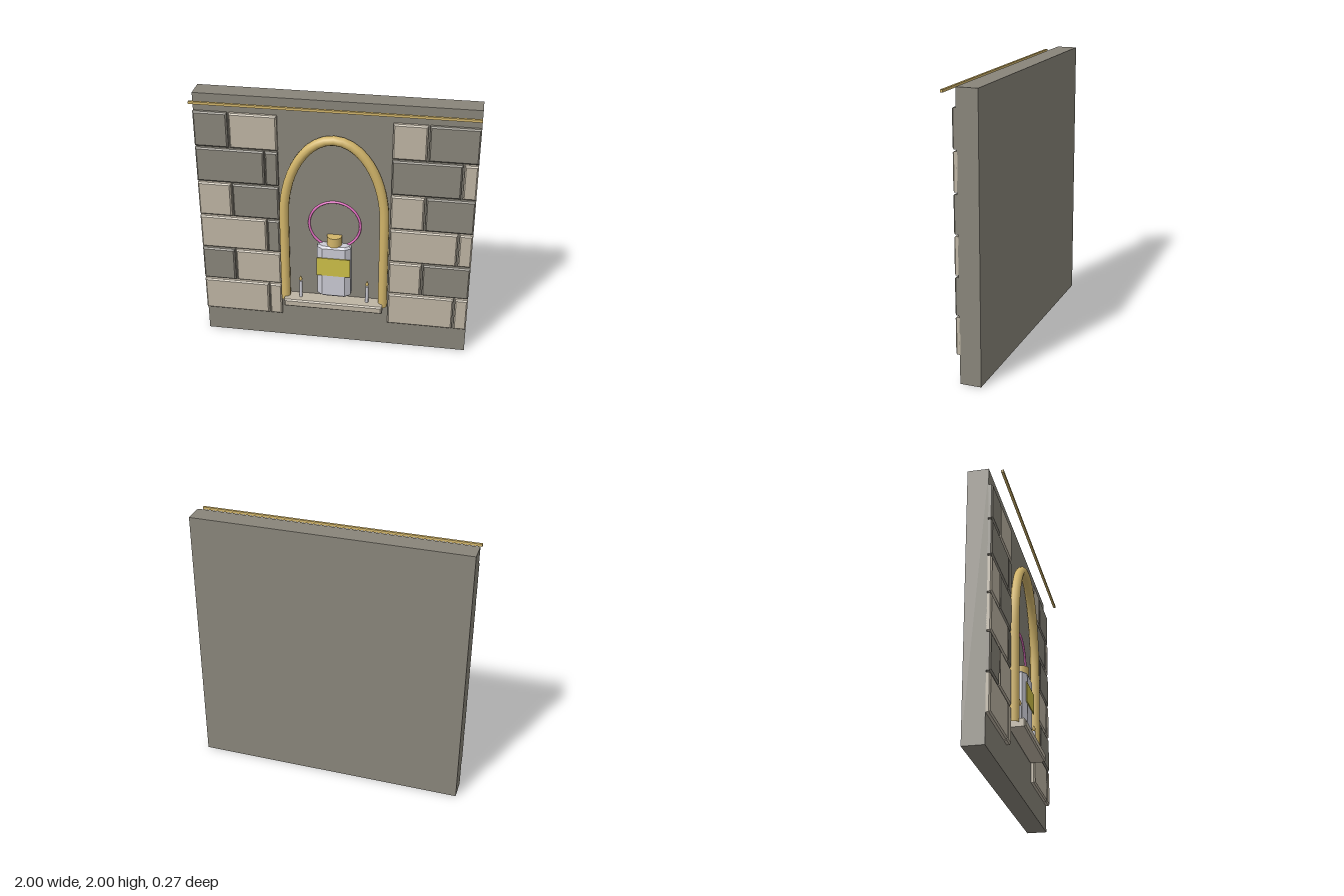
import * as THREE from 'three';

const mat = (name, color) => Object.assign(new THREE.MeshStandardMaterial({ color }), { name });

export function createModel() {
  const root = new THREE.Group();
  root.name = 'wallShrine';
  const stone = mat('darkStone', 0x89857a);
  const pale = mat('paleStone', 0xbeb5a4);
  const gold = mat('gold', 0xd2b56a);
  const white = mat('glassWhite', 0xcbcbd4);
  const yellow = mat('labelYellow', 0xcdbf48);
  const pink = mat('haloPink', 0xe46fc2);

  const add = (name, geo, material, x = 0, y = 0, z = 0) => {
    const mesh = new THREE.Mesh(geo, material);
    mesh.name = name;
    mesh.position.set(x, y, z);
    root.add(mesh);
    return mesh;
  };

  // Polygon extruded along z from 0 to depth, chamfered by b inside its outline
  const chamfered = (points, depth, b) => {
    const geo = new THREE.ExtrudeGeometry(new THREE.Shape(points), {
      depth: depth - 2 * b, bevelEnabled: true, bevelSize: b, bevelThickness: b,
      bevelOffset: -b, bevelSegments: 1,
    });
    return geo.translate(0, 0, b);
  };
  const rect = (w, h) => [[-1, -1], [1, -1], [1, 1], [-1, 1]]
    .map(([x, y]) => new THREE.Vector2(x * w / 2, y * h / 2));

  // Backing wall
  add('wall', new THREE.BoxGeometry(2, 2, 0.15), stone, 0, 1, -0.06);

  // Stone blocks: [x start, x end, pale?], rows from the top down
  const rows = [
    [[-1, -0.757, 0], [-0.745, -0.405, 1], [0.405, 0.643, 1], [0.655, 1, 0]],
    [[-1, -0.505, 0], [-0.497, -0.405, 0], [0.405, 0.893, 0], [0.905, 1, 1]],
    [[-1, -0.757, 1], [-0.745, -0.405, 0], [0.405, 0.643, 1], [0.655, 1, 0]],
    [[-1, -0.505, 1], [-0.497, -0.405, 0], [0.405, 0.893, 1], [0.905, 1, 1]],
    [[-1, -0.757, 0], [-0.745, -0.405, 1], [0.405, 0.643, 1], [0.655, 1, 0]],
    [[-1, -0.505, 1], [-0.497, -0.405, 1], [0.405, 0.893, 1], [0.905, 1, 1]],
  ];
  rows.forEach((row, r) => row.forEach(([a, b, light]) => {
    add('stoneBlock', chamfered(rect(b - a, 0.265), 0.045, 0.01),
      light ? pale : stone, (a + b) / 2, 1.738 - r * 0.279, 0);
  }));

  // Arch moulding: straight legs joined by a tall half ellipse
  const path = new THREE.CurvePath();
  const v = (x, y) => new THREE.Vector3(x, y, 0);
  const top = [];
  for (let i = 0; i <= 20; i++) {
    const t = Math.PI * i / 20;
    top.push(v(0.365 * Math.cos(t), 1.1 + 0.625 * Math.sin(t)));
  }
  path.add(new THREE.LineCurve3(v(0.367, 0.38), top[0]));
  path.add(new THREE.CatmullRomCurve3(top));
  path.add(new THREE.LineCurve3(top[20], v(-0.367, 0.38)));
  add('arch', new THREE.TubeGeometry(path, 48, 0.035, 10), gold, 0, 0, 0.057);

  // Shelf and top rail
  add('shelf', chamfered(rect(0.74, 0.06), 0.125, 0.01), pale, 0, 0.38, 0.01);
  add('topRail', new THREE.BoxGeometry(2, 0.018, 0.018), gold, 0, 1.968, 0.11);

  // Bottle with cut corners, label and cap
  const plan = [[-0.085, -0.06], [0.085, -0.06], [0.125, -0.03], [0.125, 0.03],
    [0.085, 0.06], [-0.085, 0.06], [-0.125, 0.03], [-0.125, -0.03]]
    .map(([x, y]) => new THREE.Vector2(x, y));
  add('bottle', chamfered(plan, 0.435, 0.015).rotateX(-Math.PI / 2), white, 0, 0.44, 0.03);
  add('bottleLabel', new THREE.BoxGeometry(0.25, 0.15, 0.008), yellow, 0, 0.707, 0.093);
  add('bottleCap', new THREE.CylinderGeometry(0.056, 0.056, 0.075, 20), gold, 0, 0.908, 0.03);

  // Halo ring behind the bottle
  add('halo', new THREE.TorusGeometry(0.188, 0.009, 8, 40), pink, 0, 1.03, 0.02);

  // Candles on both sides
  for (const side of [-1, 1]) {
    add('candle', new THREE.CylinderGeometry(0.012, 0.012, 0.14, 12), white, side * 0.25, 0.478, 0.07);
    const flame = [[0, 0], [0.014, 0.018], [0.008, 0.035], [0, 0.052]]
      .map(([x, y]) => new THREE.Vector2(x, y));
    add('flame', new THREE.LatheGeometry(flame, 10), gold, side * 0.25, 0.546, 0.07);
  }
  return root;
}
